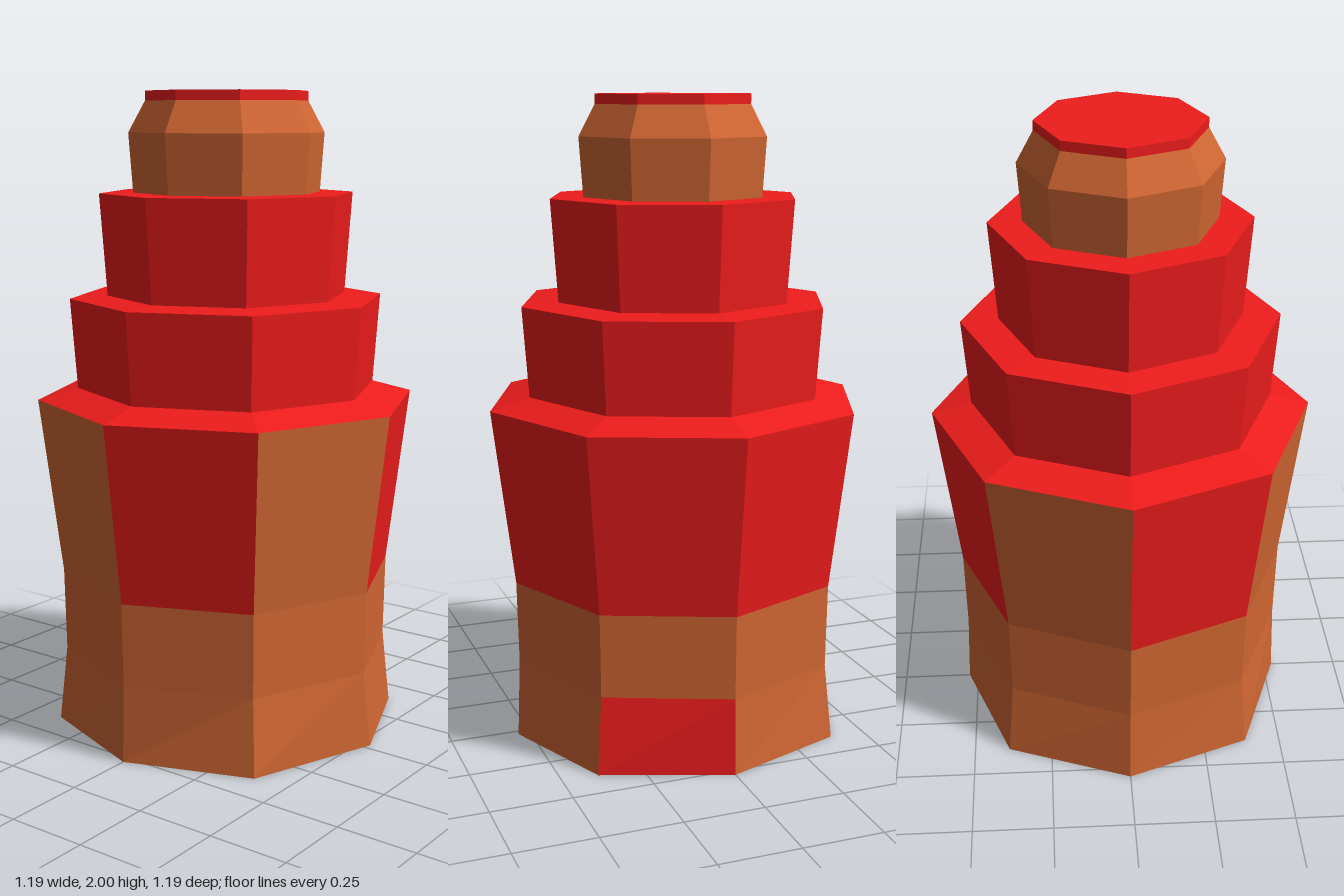
import * as THREE from 'three';

const SIDES = 8;
const material = (color) => new THREE.MeshStandardMaterial({ color, flatShading: true });

// Octagonal ring; corner 0 points to the front (+z), counting towards +x.
function ring(y, r) {
  return Array.from({ length: SIDES }, (_, k) => {
    const a = (k / SIDES) * Math.PI * 2;
    return new THREE.Vector3(Math.sin(a) * r, y, Math.cos(a) * r);
  });
}

// Flat triangles from a list of points.
function facets(points) {
  const geometry = new THREE.BufferGeometry().setFromPoints(points);
  geometry.computeVertexNormals();
  return geometry;
}

// Wall between two rings, limited to the listed sides.
function wall(lower, upper, sides) {
  const points = [];
  for (const k of sides) {
    const n = (k + 1) % SIDES;
    points.push(lower[k], lower[n], upper[n], lower[k], upper[n], upper[k]);
  }
  return facets(points);
}

// Flat octagon closing a ring, facing up or down.
function cap(corners, up) {
  const points = [];
  for (let k = 1; k < SIDES - 1; k++) {
    points.push(corners[0], corners[up ? k : k + 1], corners[up ? k + 1 : k]);
  }
  return facets(points);
}

export function createModel() {
  const model = new THREE.Group();
  const red = material(0xee1c1c);
  const orange = material(0xd06633);
  const all = [...Array(SIDES).keys()];

  const add = (parent, name, geometry, mat) => {
    const mesh = new THREE.Mesh(geometry, mat);
    mesh.name = name;
    parent.add(mesh);
  };

  // Band whose listed sides are red and the others orange.
  const band = (parent, name, lower, upper, redSides) => {
    const rest = all.filter((k) => !redSides.includes(k));
    if (redSides.length) add(parent, name + 'Red', wall(lower, upper, redSides), red);
    if (rest.length) add(parent, name + 'Orange', wall(lower, upper, rest), orange);
  };

  // Patchwork body, slightly uneven at the foot
  const body = new THREE.Group();
  body.name = 'body';
  model.add(body);
  const foot = ring(0, 0.53);
  foot.forEach((p, k) => {
    if (k % 2) p.multiplyScalar(1.035);
    else if (k % 4 === 0) p.z *= 1.015;
  });
  foot[0].x = 0.022;
  const ankle = ring(0.24, 0.523);
  const waist = ring(0.5, 0.528);
  const shoulder = ring(1.055, 0.597);
  add(body, 'base', cap(foot, false), orange);
  band(body, 'lowerPanels', foot, ankle, [1]);
  band(body, 'middlePanels', ankle, waist, []);
  band(body, 'upperPanels', waist, shoulder, [0, 1, 2, 4, 6]);

  // Stacked red tiers, each flaring a little and stepping in at its top
  const tier1 = ring(1.09, 0.472);
  const tier1Top = ring(1.37, 0.492);
  const tier2 = ring(1.378, 0.375);
  const tier2Top = ring(1.692, 0.397);
  const neck = ring(1.694, 0.292);
  band(model, 'bodyLedge', shoulder, tier1, all);
  band(model, 'lowerTier', tier1, tier1Top, all);
  band(model, 'lowerTierLedge', tier1Top, tier2, all);
  band(model, 'upperTier', tier2, tier2Top, all);
  band(model, 'upperTierLedge', tier2Top, neck, all);

  // Orange head with a thin red lid
  const brow = ring(1.875, 0.305);
  const rim = ring(1.97, 0.253);
  const lid = ring(2, 0.253);
  band(model, 'headWall', neck, brow, []);
  band(model, 'headBevel', brow, rim, []);
  band(model, 'lidEdge', rim, lid, all);
  add(model, 'lidTop', cap(lid, true), red);

  return model;
}
